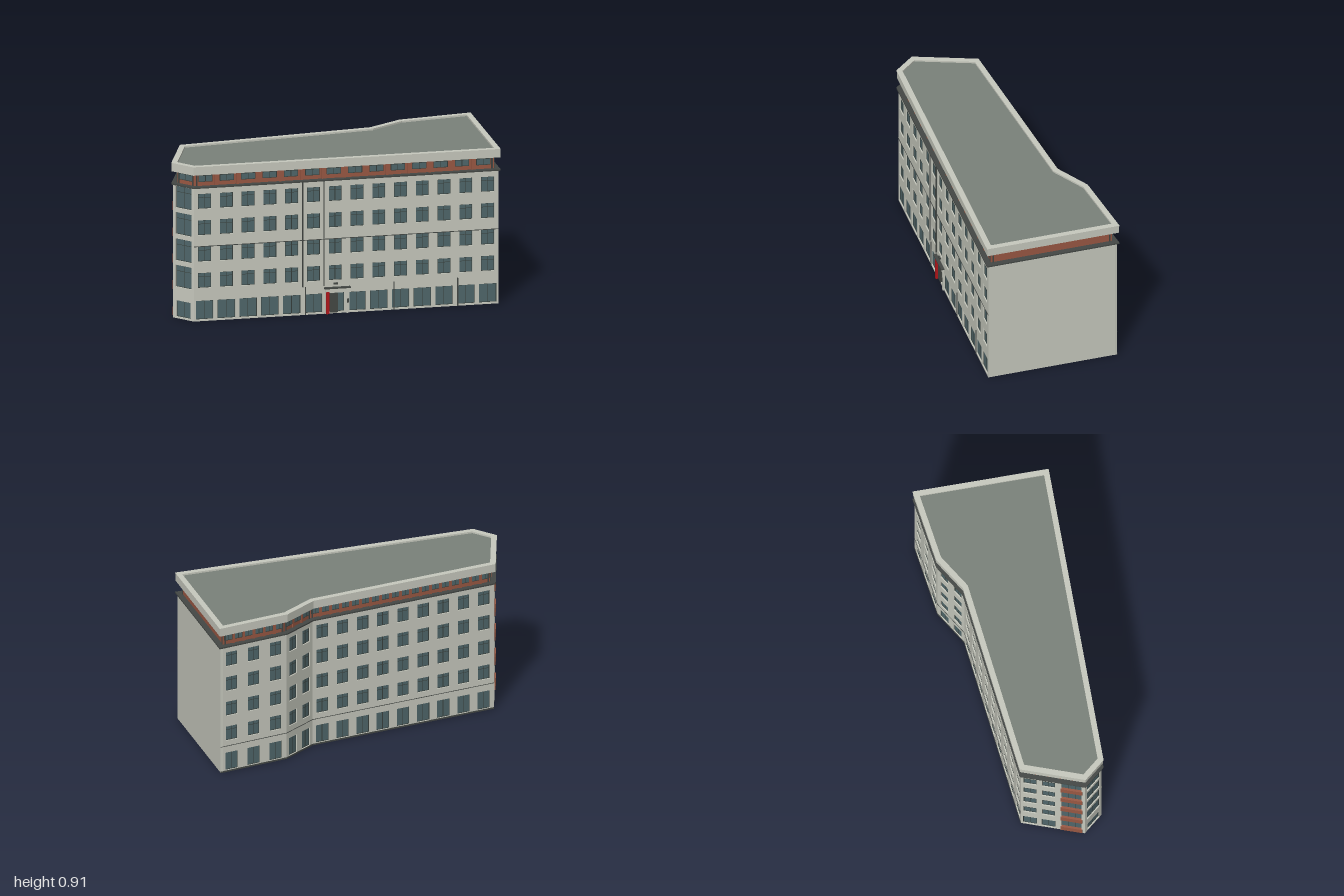
import * as THREE from 'three';
import { mergeGeometries } from 'three/addons/utils/BufferGeometryUtils.js';

const mat = (color, side = THREE.FrontSide) => new THREE.MeshStandardMaterial({ color, side });
const M = {
  wall: mat(0xc8cabf, THREE.DoubleSide), glass: mat(0x50676b, THREE.DoubleSide), frame: mat(0x39423f),
  brick: mat(0x9a5843), roof: mat(0x7b827b), dark: mat(0x444845), red: mat(0xb3161b),
};

// Roof outline as [x, z], running left to right as seen from outside
const OUTLINE = [[-0.95, -0.11], [0.71, 0.54], [0.995, -0.19], [0.575, -0.29], [0.35, -0.25], [-0.75, -0.545], [-1, -0.26]];
const SIDES = ['front', 'gable', 'rearEnd', 'rearBend', 'rear', 'angledEnd', 'narrowEnd'];
const FLOORS = [0.195, 0.35, 0.505, 0.66];
const WIN_H = 0.088, DEPTH = 0.012;

// Mitred offset of the outline; negative d moves inward
function offset(d) {
  const n = OUTLINE.length;
  const normal = (i) => {
    const a = OUTLINE[(i + n) % n], b = OUTLINE[(i + 1) % n];
    return new THREE.Vector2(a[1] - b[1], b[0] - a[0]).normalize();
  };
  return OUTLINE.map(([x, z], i) => {
    const n1 = normal(i - 1), n2 = normal(i), k = d / (1 + n1.dot(n2));
    return new THREE.Vector2(x + k * (n1.x + n2.x), z + k * (n1.y + n2.y));
  });
}

const flip = (pts) => pts.map((p) => new THREE.Vector2(p.x, -p.y));

// Horizontal slab between y0 and y1, optionally with a hole
function slab(name, pts, y0, y1, material, hole) {
  const shape = new THREE.Shape(flip(pts));
  if (hole) shape.holes.push(new THREE.Path(flip(hole)));
  const g = new THREE.ExtrudeGeometry(shape, { depth: y1 - y0, bevelEnabled: false });
  g.rotateX(-Math.PI / 2).translate(0, y0, 0);
  const mesh = new THREE.Mesh(g, material);
  mesh.name = name;
  return mesh;
}

function box(u0, u1, y0, y1, z0, z1) {
  return new THREE.BoxGeometry(u1 - u0, y1 - y0, z1 - z0).translate((u0 + u1) / 2, (y0 + y1) / 2, (z0 + z1) / 2);
}

const rect = (u0, u1, y0, y1) => [[u0, y0], [u1, y0], [u1, y1], [u0, y1]].map((p) => new THREE.Vector2(...p));

// Group whose x runs along the edge and whose z points outward
function edgeGroup(name, a, b) {
  const g = new THREE.Group();
  g.name = name;
  g.position.set(a.x, 0, a.y);
  g.rotation.y = Math.atan2(a.y - b.y, b.x - a.x);
  return g;
}

function addParts(group, parts) {
  for (const [name, [geos, material]] of Object.entries(parts)) {
    if (!geos.length) continue;
    const m = new THREE.Mesh(mergeGeometries(geos), material);
    m.name = name;
    group.add(m);
  }
}

// Recessed glazing with a frame, mullions and an optional transom
function glaze(parts, [u0, u1, y0, y1, panes = 2, transom = true]) {
  const t = 0.003, zb = -DEPTH + 0.001, zf = -0.007, f = parts.windowFrames[0];
  parts.windowGlass[0].push(box(u0, u1, y0, y1, zb, zb + 0.002));
  f.push(box(u0, u1, y0, y0 + t, zb, zf), box(u0, u1, y1 - t, y1, zb, zf));
  for (let i = 0; i <= panes; i++) {
    const c = u0 + t / 2 + (u1 - u0 - t) * i / panes;
    f.push(box(c - t / 2, c + t / 2, y0, y1, zb, zf));
  }
  if (transom) {
    const y = y0 + (y1 - y0) * 0.72;
    f.push(box(u0, u1, y, y + t * 0.8, zb, zf));
  }
}

function openings(side, L) {
  const list = [];
  const column = (c, w, gw, panes = 2) => {
    list.push([c - gw / 2, c + gw / 2, 0.01, 0.12, panes, false]);
    FLOORS.forEach((y) => list.push([c - w / 2, c + w / 2, y, y + WIN_H, panes]));
  };
  const row = (n, w, gw) => { for (let i = 0; i < n; i++) column((i + 0.5) * L / n, w, gw); };
  if (side === 'front') row(14, 0.076, 0.102);
  if (side === 'rear') row(9, 0.074, 0.08);
  if (side === 'rearEnd') row(3, 0.074, 0.08);
  if (side === 'rearBend') row(2, 0.066, 0.07);
  if (side === 'angledEnd') {
    column(0.14 * L, 0.074, 0.08);
    column(0.43 * L, 0.074, 0.08);
    // loggia glazing, one bay per floor
    for (let i = 0; i < 5; i++) list.push([0.63 * L, 0.95 * L, 0.01 + i * 0.155, 0.15 + i * 0.155, 3, false]);
  }
  if (side === 'narrowEnd') {
    list.push([0.15 * L, 0.85 * L, 0.01, 0.105, 2, false]);
    FLOORS.forEach((y) => list.push([0.12 * L, 0.88 * L, y - 0.01, y + 0.118, 2]));
  }
  return list;
}

function buildWall(side, a, b) {
  const L = a.distanceTo(b), g = edgeGroup(side + 'Wall', a, b);
  const parts = {
    windowGlass: [[], M.glass], windowFrames: [[], M.frame], trim: [[], M.wall],
    pipesAndJoints: [[], M.dark], balconyPanels: [[], M.brick],
  };
  const holes = openings(side, L);
  const shape = new THREE.Shape(rect(0, L, 0, 0.785));
  holes.forEach((h) => {
    shape.holes.push(new THREE.Path(rect(...h)));
    glaze(parts, h);
  });
  const skin = new THREE.ExtrudeGeometry(shape, { depth: DEPTH, bevelEnabled: false }).translate(0, 0, -DEPTH);
  const wall = new THREE.Mesh(skin, M.wall);
  wall.name = 'wall';
  g.add(wall);

  const lines = parts.pipesAndJoints[0];
  if (side === 'front') {
    lines.push(box(0, L, 0.437, 0.441, -0.001, 0.002));
    [0.632, 0.755].forEach((u) => lines.push(box(u - 0.003, u + 0.003, 0.165, 0.782, 0, 0.006)));
    [0.648, 1.16, 1.53].forEach((u) => lines.push(box(u - 0.003, u + 0.003, 0, 0.165, 0, 0.004)));
  } else if (side.startsWith('rear')) {
    lines.push(box(0, L, 0.16, 0.163, -0.001, 0.002), box(0, L, 0, 0.009, -0.001, 0.003));
  }
  if (side === 'angledEnd') {
    for (let i = 0; i < 5; i++) {
      const y = i * 0.155;
      parts.balconyPanels[0].push(box(0.62 * L, 0.96 * L, y + 0.008, y + 0.058, -0.008, 0.005));
    }
  }
  addParts(g, parts);
  return g;
}

// Set-back brick storey with its ribbon windows
function buildTopStorey(side, a, b) {
  const L = a.distanceTo(b), g = edgeGroup(side + 'TopStorey', a, b);
  const bays = { front: 14, rear: 18, rearEnd: 6, rearBend: 3, angledEnd: 5, narrowEnd: 1, gable: 0 }[side];
  const parts = { ribbonGlass: [[], M.glass], ribbonFrames: [[], M.frame], piers: [[], M.brick], cornerPosts: [[], M.dark] };
  const w = L / Math.max(bays, 1), y0 = 0.815, y1 = 0.85;
  for (let i = 0; i < bays; i++) {
    const c = (i + 0.5) * w, h = w * (side === 'front' ? 0.32 : 0.38);
    parts.ribbonGlass[0].push(box(c - h, c + h, y0, y1, 0, 0.002));
    for (const u of [-h, 0, h]) parts.ribbonFrames[0].push(box(c + u - 0.0015, c + u + 0.0015, y0, y1, 0, 0.004));
    for (const y of [y0, y1]) parts.ribbonFrames[0].push(box(c - h, c + h, y - 0.0015, y + 0.0015, 0, 0.004));
    if (i) parts.piers[0].push(box(i * w - 0.008, i * w + 0.008, 0.79, 0.86, 0, 0.006));
  }
  for (const u of [0.012, L - 0.012]) parts.cornerPosts[0].push(box(u - 0.004, u + 0.004, 0.79, 0.86, 0, 0.005));
  addParts(g, parts);
  return g;
}

function buildEntrance(a, b) {
  const g = edgeGroup('entrance', a, b);
  addParts(g, {
    portal: [[box(0.762, 0.78, 0, 0.15, 0, 0.008), box(0.885, 0.9, 0, 0.15, 0, 0.008), box(0.762, 0.9, 0.128, 0.15, 0, 0.012)], M.wall],
    canopy: [[box(0.755, 0.907, 0.148, 0.156, 0, 0.02)], M.dark],
    door: [[box(0.79, 0.835, 0.005, 0.118, -0.008, 0.002), box(0.887, 0.898, 0.06, 0.085, 0.008, 0.012)], M.dark],
    redPanel: [[box(0.766, 0.784, 0, 0.13, 0, 0.014)], M.red],
    lamp: [[box(0.81, 0.834, 0.17, 0.181, 0, 0.008)], M.dark],
  });
  return g;
}

export function createModel() {
  const model = new THREE.Group();
  model.name = 'officeBuilding';
  const body = offset(-0.01), top = offset(-0.032), n = body.length;
  SIDES.forEach((side, i) => {
    model.add(buildWall(side, body[i], body[(i + 1) % n]));
    model.add(buildTopStorey(side, top[i], top[(i + 1) % n]));
  });
  model.add(buildEntrance(body[0], body[1]));
  // cornice, set-back storey core, roof fascia and sunken roof deck
  model.add(slab('cornice', offset(0), 0.782, 0.79, M.dark));
  model.add(slab('topStoreyCore', top, 0.79, 0.86, M.brick));
  model.add(slab('roofFascia', offset(-0.002), 0.86, 0.907, M.wall, offset(-0.032)));
  model.add(slab('roofCoping', offset(0), 0.905, 0.91, M.wall, offset(-0.032)));
  model.add(slab('roofDeck', offset(-0.031), 0.86, 0.9, M.roof));
  return model;
}
